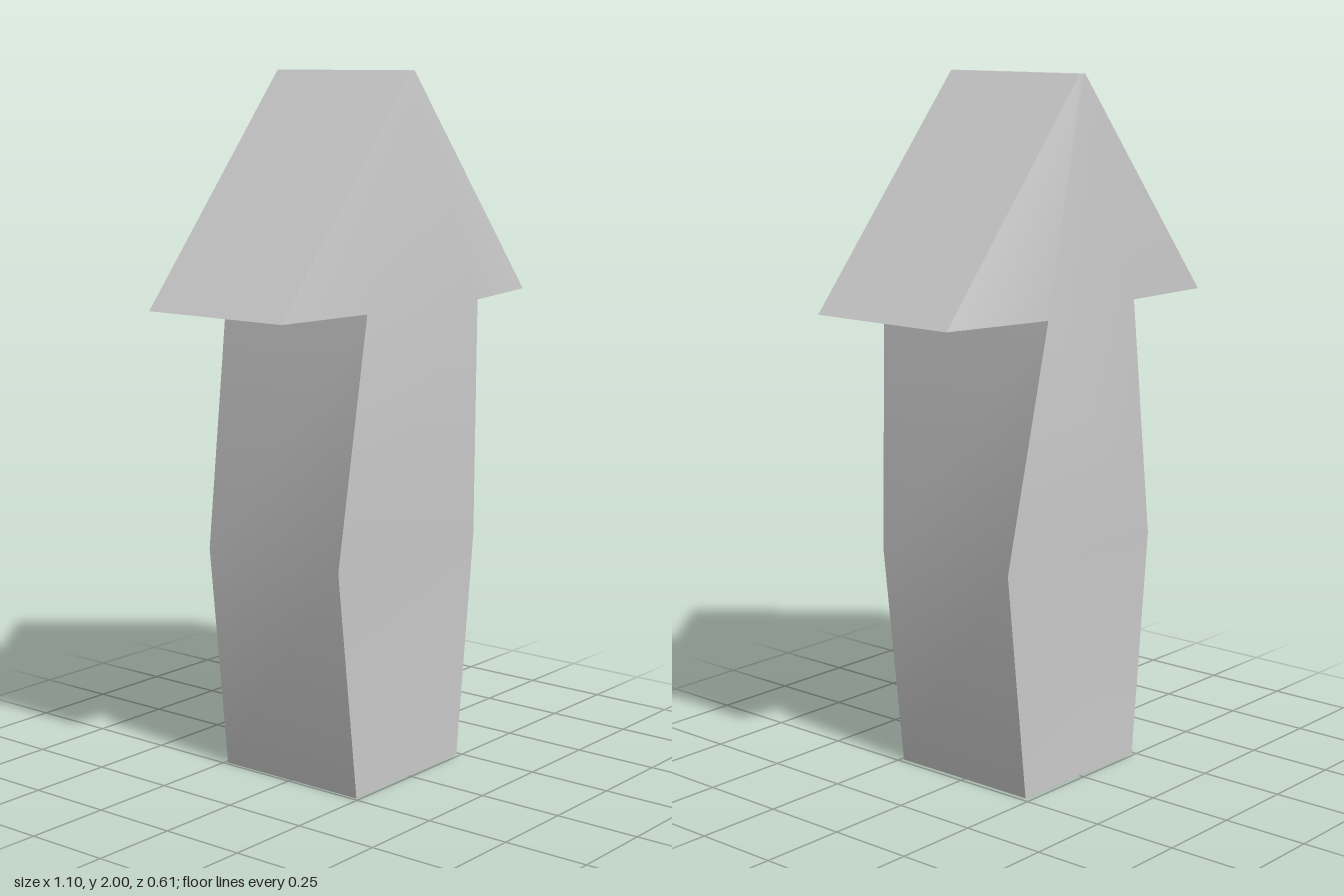
import * as THREE from 'three';
import { toCreasedNormals } from 'three/addons/utils/BufferGeometryUtils.js';

// Arrow outline, counter-clockwise from the lower left: x, y, front z, back z
const OUTLINE = [
  [-0.24, 0, 0.24, -0.24],       // 0 foot
  [0.235, 0, 0.24, -0.23],       // 1 foot
  [0.31, 0.66, 0.24, -0.23],     // 2 belly
  [0.23, 1.36, 0.302, -0.304],   // 3 neck
  [0.55, 1.36, 0.24, -0.23],     // 4 barb
  [0.01, 2, 0.24, -0.23],        // 5 tip
  [-0.012, 2, 0.24, -0.23],      // 6 tip
  [-0.55, 1.36, 0.24, -0.23],    // 7 barb
  [-0.24, 1.36, 0.275, -0.23],   // 8 neck
  [-0.32, 0.66, 0.24, -0.23],    // 9 belly
];

// Facets of the front face: shaft, then head
const CAP = [
  [0, 1, 2], [0, 2, 9], [9, 2, 3], [9, 3, 8],
  [8, 3, 6], [3, 5, 6], [3, 4, 5], [8, 6, 7],
];

function arrowGeometry() {
  const n = OUTLINE.length;
  const front = OUTLINE.flatMap(([x, y, z]) => [x, y, z]);
  const back = OUTLINE.flatMap(([x, y, , z]) => [x, y, z]);
  const index = [];
  // Front and back faces
  for (const [a, b, c] of CAP) index.push(a, b, c, n + a, n + c, n + b);
  // Side walls all round the outline
  for (let i = 0; i < n; i++) {
    const j = (i + 1) % n;
    index.push(i, n + i, n + j, i, n + j, j);
  }
  const geometry = new THREE.BufferGeometry();
  geometry.setAttribute('position', new THREE.Float32BufferAttribute([...front, ...back], 3));
  geometry.setIndex(index);
  return toCreasedNormals(geometry, 0.6);
}

export function createModel() {
  const group = new THREE.Group();
  group.name = 'upArrow';
  const arrow = new THREE.Mesh(arrowGeometry(), new THREE.MeshStandardMaterial({ color: 0xcccccc }));
  arrow.name = 'arrowBody';
  group.add(arrow);
  return group;
}
